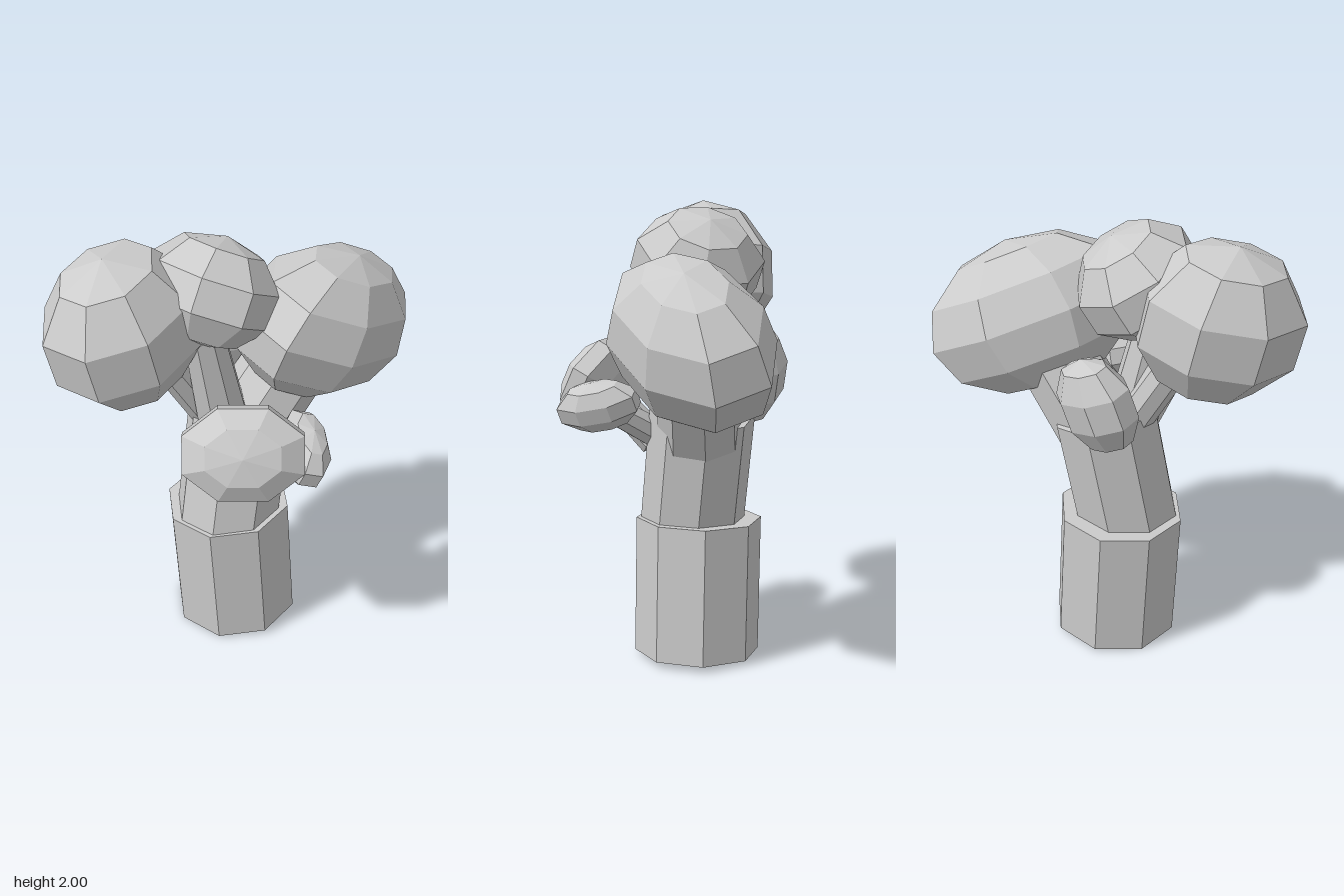
import * as THREE from 'three';

const material = new THREE.MeshStandardMaterial({ color: 0xcccccc, flatShading: true });
const vec = (a) => new THREE.Vector3(...a);

// Straight faceted limb between two points
function limb(name, from, to, r0, r1, sides = 8) {
  const a = vec(from), b = vec(to), dir = b.clone().sub(a);
  const geo = new THREE.CylinderGeometry(r1, r0, dir.length(), sides);
  geo.rotateY(Math.PI / sides);
  const mesh = new THREE.Mesh(geo, material);
  mesh.name = name;
  mesh.position.copy(a).add(b).multiplyScalar(0.5);
  mesh.quaternion.setFromUnitVectors(new THREE.Vector3(0, 1, 0), dir.normalize());
  return mesh;
}

// Faceted ellipsoid: pole is its own up axis, side fixes its x axis
function foliage(name, centre, pole, side, radii, rings = 5) {
  const y = vec(pole).normalize();
  const x = vec(side).addScaledVector(y, -vec(side).dot(y)).normalize();
  const z = x.clone().cross(y);
  const geo = new THREE.SphereGeometry(1, 8, rings);
  geo.rotateY(Math.PI / 8);
  const mesh = new THREE.Mesh(geo, material);
  mesh.name = name;
  mesh.position.set(...centre);
  mesh.quaternion.setFromRotationMatrix(new THREE.Matrix4().makeBasis(x, y, z));
  mesh.scale.set(...radii);
  return mesh;
}

export function createModel() {
  const tree = new THREE.Group();
  tree.name = 'tree';
  tree.add(
    // Trunk in two leaning sections
    limb('lowerTrunk', [-0.025, 0.015, -0.02], [-0.05, 0.63, -0.045], 0.281, 0.281),
    limb('upperTrunk', [-0.08, 0.58, -0.025], [0.02, 1.13, -0.025], 0.233, 0.233),

    // Branches
    limb('leftBranch', [0.035, 1.015, -0.01], [0.29, 1.45, 0.14], 0.19, 0.18),
    limb('middleBranch', [-0.09, 1.05, -0.02], [-0.21, 1.62, -0.04], 0.12, 0.09),
    limb('rightBranch', [-0.06, 1.05, -0.08], [-0.33, 1.55, -0.2], 0.085, 0.08),
    limb('backTwig', [0.02, 1.02, -0.12], [0.06, 1.2, -0.24], 0.09, 0.08),
    limb('sideTwig', [-0.15, 0.98, 0.12], [-0.32, 1.19, 0.27], 0.075, 0.065),
    limb('frontTwig', [-0.12, 1.02, 0.13], [-0.11, 1.17, 0.38], 0.07, 0.06),

    // Large crowns
    foliage('leftCrown', [0.32, 1.5, 0.19], [0.33, 0.88, 0.27], [1, -0.3, 0], [0.49, 0.335, 0.325], 6),
    foliage('middleCrown', [-0.12, 1.76, -0.075], [0.5, 0.86, 0], [1, -0.5, 0], [0.285, 0.235, 0.305]),
    foliage('rightCrown', [-0.43, 1.665, -0.28], [-0.2, 0.97, -0.08], [1, 0, 0], [0.37, 0.345, 0.32]),

    // Small clumps
    foliage('backClump', [0.065, 1.28, -0.26], [0.3, 0.92, 0.05], [0.7, 0, 0.7], [0.195, 0.225, 0.14]),
    foliage('sideClump', [-0.36, 1.24, 0.29], [-0.68, 0.4, 0.52], [0.63, 0, 0.78], [0.285, 0.125, 0.22]),
    foliage('frontClump', [-0.11, 1.175, 0.415], [0.1, 0.85, 0.35], [-0.55, 0.2, 0.78], [0.2, 0.115, 0.11])
  );
  return tree;
}
